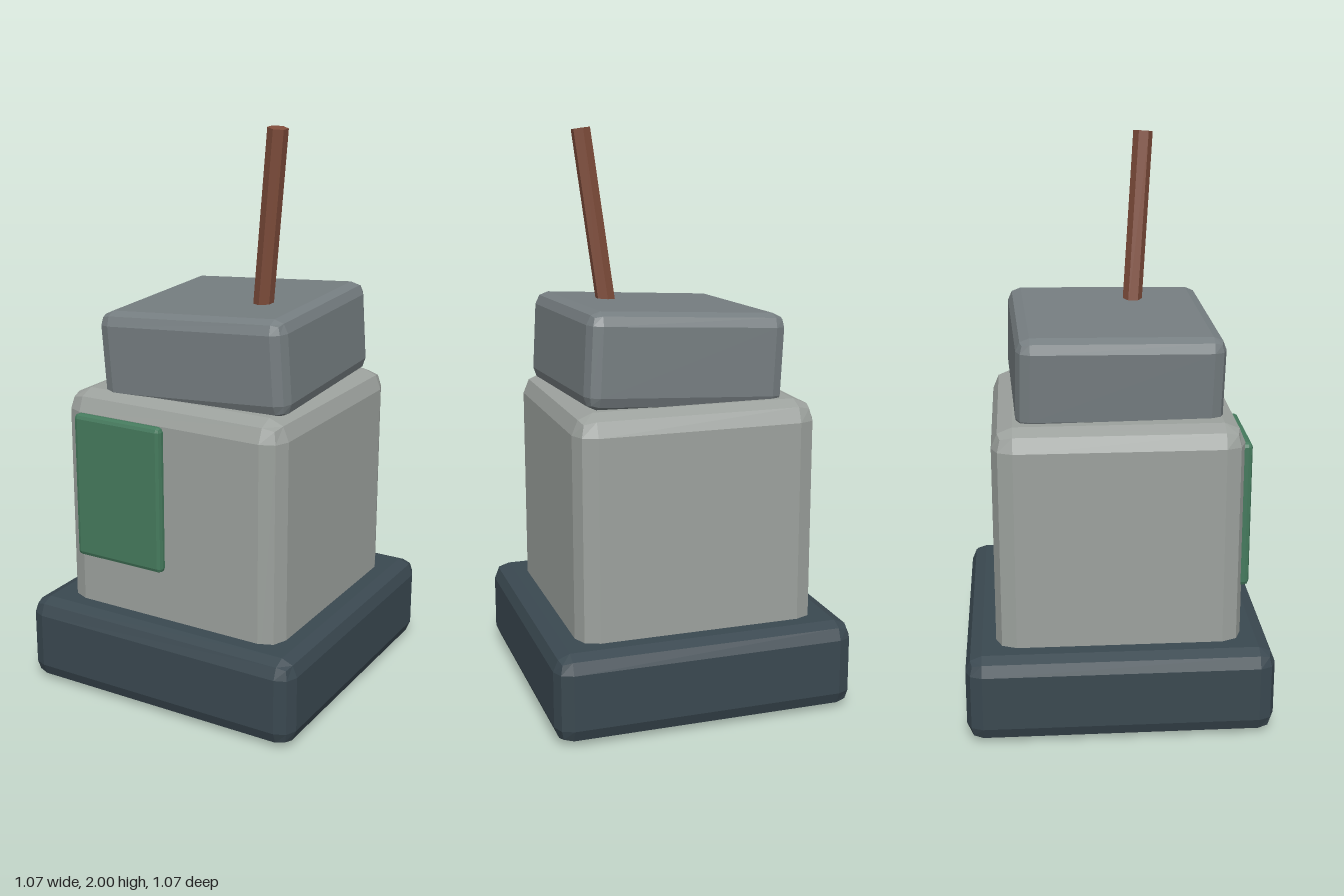
import * as THREE from 'three';
import { RoundedBoxGeometry } from 'three/addons/geometries/RoundedBoxGeometry.js';

export function createModel() {
  const model = new THREE.Group();
  model.name = 'beacon';

  const add = (name, geometry, color, x, y, z, rotation = [0, 0, 0]) => {
    const mesh = new THREE.Mesh(geometry, new THREE.MeshStandardMaterial({ color, flatShading: true }));
    mesh.name = name;
    mesh.position.set(x, y, z);
    mesh.rotation.set(...rotation);
    model.add(mesh);
  };
  // Box with a single low-poly bevel step on every edge
  const bevelBox = (w, h, d, r) => new RoundedBoxGeometry(w, h, d, 1, r);

  // Wide plinth, with the body passing through to the ground
  add('base', bevelBox(1.068, 0.31, 1.068, 0.057), 0x3a4850, 0, 0.16, 0);
  add('body', bevelBox(0.857, 1.092, 0.857, 0.072), 0x9ca19d, 0, 0.546, 0);

  // Slightly raised panel on the front, towards the right side
  add('frontPanel', bevelBox(0.354, 0.525, 0.05, 0.016), 0x457a5d, -0.188, 0.756, 0.43);

  // Crooked cap resting on the body
  add('cap', bevelBox(0.71, 0.328, 0.71, 0.046), 0x757d80, 0.03, 1.23, 0, [0.02, 0.04, 0.06]);

  // Leaning six-sided rod, sunk a little into the cap
  const top = new THREE.Vector3(0.255, 1.995, 0.131);
  const bottom = new THREE.Vector3(0.177, 1.35, 0.086);
  const mid = top.clone().add(bottom).multiplyScalar(0.5);
  add('rod', new THREE.CylinderGeometry(0.035, 0.035, top.distanceTo(bottom), 6), 0x7f4d3b,
    mid.x, mid.y, mid.z, [0.07, 0, -0.12]);

  return model;
}
